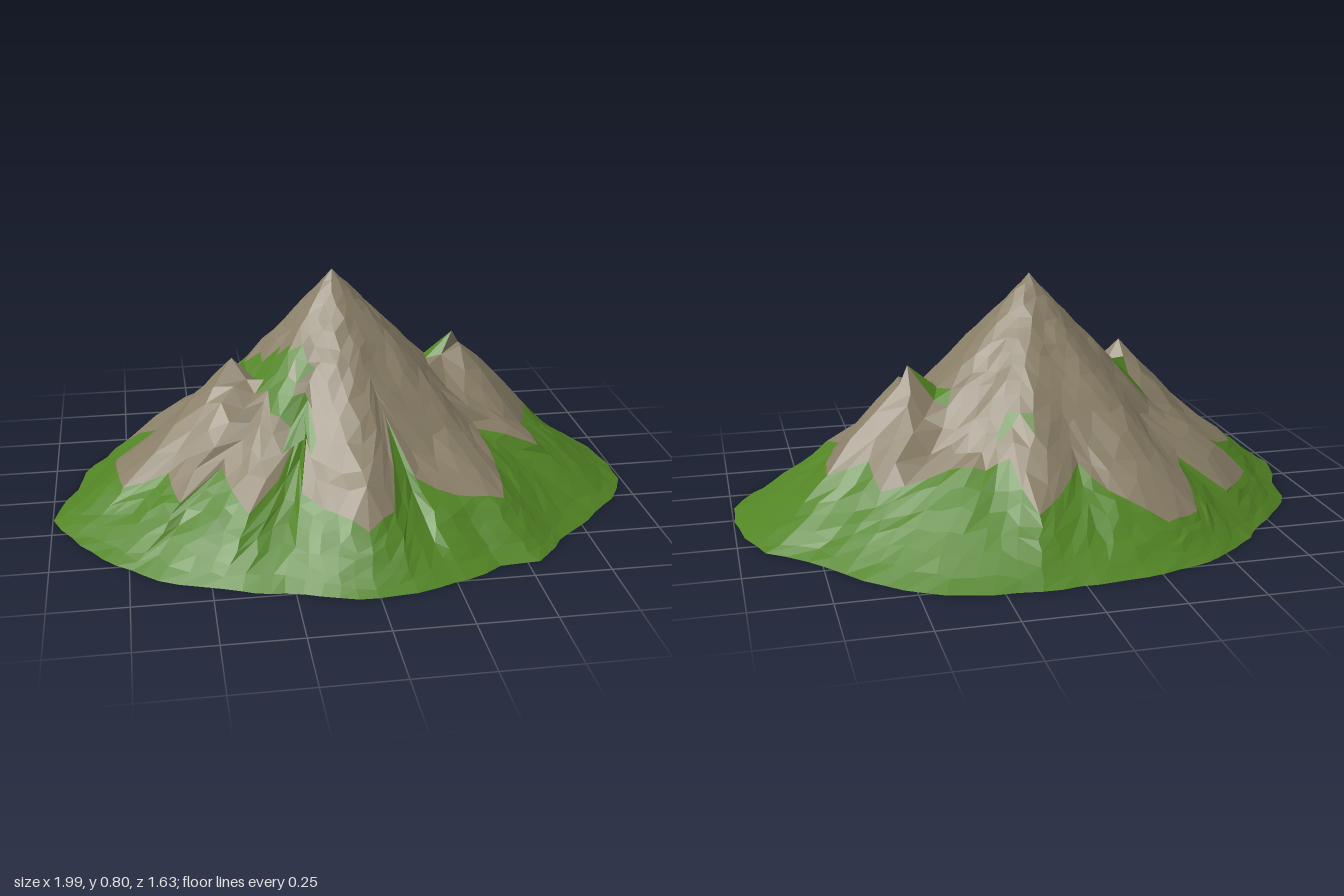
import * as THREE from 'three';

const PEAK = { x: -0.03, z: 0.01, y: 0.8 };
const SIDE_PEAKS = [{ x: -0.38, z: 0.09, y: 0.53 }, { x: 0.41, z: -0.08, y: 0.525 }];

// Foot of the hill, as x, z pairs
const RIM = [
  1, 0.04, 0.98, -0.13, 0.91, -0.32, 0.79, -0.41, 0.65, -0.6, 0.49, -0.74, 0.35, -0.79, 0.03, -0.81,
  -0.24, -0.78, -0.5, -0.68, -0.69, -0.48, -0.88, -0.27, -0.92, -0.08, -1, 0.16, -0.89, 0.35, -0.72, 0.55,
  -0.62, 0.64, -0.53, 0.66, -0.26, 0.75, -0.02, 0.81, 0.25, 0.76, 0.41, 0.67, 0.54, 0.66, 0.68, 0.5,
  0.82, 0.36, 0.96, 0.21];

// Ragged lower edge of the bare rock, as x, z pairs
const ROCK = [
  0.68, -0.05, 0.7, -0.19, 0.57, -0.24, 0.55, -0.36, 0.33, -0.38, 0.15, -0.45, 0.1, -0.63, -0.07, -0.46,
  -0.1, -0.51, -0.32, -0.63, -0.44, -0.57, -0.45, -0.45, -0.43, -0.33, -0.61, -0.4, -0.74, -0.24,
  -0.64, -0.11, -0.78, 0, -0.76, 0.23, -0.61, 0.27, -0.58, 0.41, -0.44, 0.34, -0.37, 0.53, -0.27, 0.45,
  -0.2, 0.36, -0.16, 0.33, -0.2, 0.5, -0.1, 0.6, -0.01, 0.66, 0.08, 0.6, 0.1, 0.36, 0.17, 0.48,
  0.3, 0.51, 0.46, 0.5, 0.47, 0.35, 0.43, 0.2, 0.54, 0.2, 0.66, 0.2, 0.63, 0.08];

// Grassy hollows high on the rock: segment ends and half width
const HOLLOWS = [
  [-0.18, 0.38, -0.25, 0.17, 0.04], [-0.25, 0.17, -0.39, -0.06, 0.028], [-0.27, 0.1, -0.14, 0.21, 0.022],
  [0.31, -0.16, 0.35, -0.05, 0.03], [0.07, -0.37, 0.17, -0.37, 0.02]];

// Height of the foothills against distance from the peak (1 = rim)
const SKIRT = [[0, 0.36], [0.5, 0.31], [0.62, 0.25], [0.75, 0.165], [0.87, 0.08], [0.94, 0.032], [1, 0]];

function polar(flat) {
  const out = [];
  for (let i = 0; i < flat.length; i += 2) {
    const x = flat[i] - PEAK.x, z = flat[i + 1] - PEAK.z;
    out.push([Math.atan2(z, x), Math.hypot(x, z)]);
  }
  out.sort((a, b) => a[0] - b[0]);
  const first = out[0], last = out[out.length - 1];
  return [[last[0] - 2 * Math.PI, last[1]], ...out, [first[0] + 2 * Math.PI, first[1]]];
}

function lookup(table, v) {
  for (let i = 1; i < table.length; i++) {
    const [a, p] = table[i - 1], [b, q] = table[i];
    if (v <= b) return p + (q - p) * (v - a) / (b - a);
  }
  return table[table.length - 1][1];
}

function nearSegment(x, z, [ax, az, bx, bz, w]) {
  const dx = bx - ax, dz = bz - az;
  const t = THREE.MathUtils.clamp(((x - ax) * dx + (z - az) * dz) / (dx * dx + dz * dz), 0, 1);
  return Math.hypot(x - ax - t * dx, z - az - t * dz) < w;
}

export function createModel() {
  let seed = 11;
  const jitter = () => {
    seed = (seed * 16807) % 2147483647;
    return seed / 2147483647 - 0.5;
  };
  const rim = polar(RIM), rock = polar(ROCK);

  // Tallest of the foothills and three ribbed cones, plus ridges and a front knoll
  function height(x, z) {
    const dx = x - PEAK.x, dz = z - PEAK.z, d = Math.hypot(dx, dz), a = Math.atan2(dz, dx);
    const t = Math.min(d / lookup(rim, a), 1);
    const slope = 1.08 - 0.05 * Math.cos(a + 0.8) + 0.04 * Math.sin(a * 7 + 1);
    let h = Math.max(lookup(SKIRT, t), PEAK.y - d * slope);
    for (const p of SIDE_PEAKS) {
      const e = Math.hypot(x - p.x, z - p.z), b = Math.atan2(z - p.z, x - p.x);
      h = Math.max(h, p.y - e * (1.13 + 0.06 * Math.sin(b * 6)));
    }
    const spur = lookup(rock, a) / lookup(rim, a) - 0.68;
    h += 0.18 * spur * Math.sin(Math.PI * t * t) ** 2;
    return h + 0.035 * Math.exp(-((x + 0.01) ** 2 + (z - 0.58) ** 2) / 0.005);
  }

  // Sector angles pass through every corner of the rock edge
  const angles = [];
  for (let i = 1; i < rock.length - 1; i++) {
    const a = rock[i][0], span = rock[i + 1][0] - a, n = Math.max(1, Math.round(span / 0.075));
    for (let k = 0; k < n; k++) angles.push(a + span * k / n);
  }

  // Rings of points from the summit to the rim, with fewer points near the summit
  const ROCK_RINGS = 14, RINGS = 20, rings = [];
  for (let j = 0; j <= RINGS; j++) {
    const n = j === 0 ? 1 : Math.max(7, Math.round(j * 4.6));
    const ringAngles = j >= ROCK_RINGS ? angles
      : Array.from({ length: n }, (_, i) => -Math.PI + 2 * Math.PI * (i + (j % 2) / 2) / n);
    rings.push(ringAngles.map((angle) => {
      const fixed = j === 0 || j === ROCK_RINGS || j === RINGS;
      const jr = fixed ? j : j + 0.4 * jitter();
      const a = fixed ? angle : angle + 0.5 * jitter() / Math.max(j, 10);
      const inner = lookup(rock, a), outer = lookup(rim, a), t = jr / ROCK_RINGS;
      let r = t * THREE.MathUtils.lerp(0.42, inner, t * t);
      if (j > ROCK_RINGS) r = inner + (outer - inner) * (jr - ROCK_RINGS) / (RINGS - ROCK_RINGS);
      if (j === RINGS) r += 0.014 * jitter();
      const x = PEAK.x + r * Math.cos(a), z = PEAK.z + r * Math.sin(a);
      const rough = 0.012 * jitter() * Math.min(1, j / 5, (RINGS - j) / 4);
      const y = j === RINGS ? 0 : Math.max(0, height(x, z) + rough);
      return { angle, v: new THREE.Vector3(x, y, z) };
    }));
  }

  // Pull the closest point onto each side summit
  for (const p of SIDE_PEAKS) {
    const flat = (v) => Math.hypot(v.x - p.x, v.z - p.z);
    rings.flat().map((q) => q.v).reduce((m, v) => (flat(v) < flat(m) ? v : m)).set(p.x, p.y, p.z);
  }

  // Sort the triangles into rock and grass
  const rockFaces = [], grassFaces = [];
  function face(a, b, c, isRock) {
    const x = (a.x + b.x + c.x) / 3, z = (a.z + b.z + c.z) / 3;
    const list = isRock && !HOLLOWS.some((s) => nearSegment(x, z, s)) ? rockFaces : grassFaces;
    for (const v of [a, b, c]) list.push(v.x, v.y, v.z);
  }

  // Stitch each ring to the next, always stepping along the one that lags behind
  const at = (ring, i) => ring[i % ring.length].v;
  const turn = (ring, i) => (i < ring.length ? ring[i].angle : ring[i - ring.length].angle + 2 * Math.PI);
  for (let k = 0; k < RINGS; k++) {
    const A = rings[k], B = rings[k + 1], isRock = k < ROCK_RINGS;
    let i = k === 0 ? 1 : 0, j = 0;
    while (i < A.length || j < B.length) {
      if (j === B.length || (i < A.length && turn(A, i + 1) < turn(B, j + 1))) {
        face(at(A, i), at(A, i + 1), at(B, j), isRock);
        i++;
      } else {
        face(at(A, i), at(B, j + 1), at(B, j), isRock);
        j++;
      }
    }
  }

  const material = (name, color) => {
    const m = new THREE.MeshStandardMaterial({ color, flatShading: true, side: THREE.DoubleSide });
    m.name = name;
    return m;
  };
  const group = new THREE.Group();
  group.name = 'mountain';
  const add = (name, faces, mat) => {
    const g = new THREE.BufferGeometry();
    g.setAttribute('position', new THREE.Float32BufferAttribute(faces, 3));
    g.computeVertexNormals();
    const mesh = new THREE.Mesh(g, mat);
    mesh.name = name;
    group.add(mesh);
  };
  add('rockyPeaks', rockFaces, material('rock', 0x897e67));
  add('grassySlopes', grassFaces, material('grass', 0x528424));
  return group;
}
